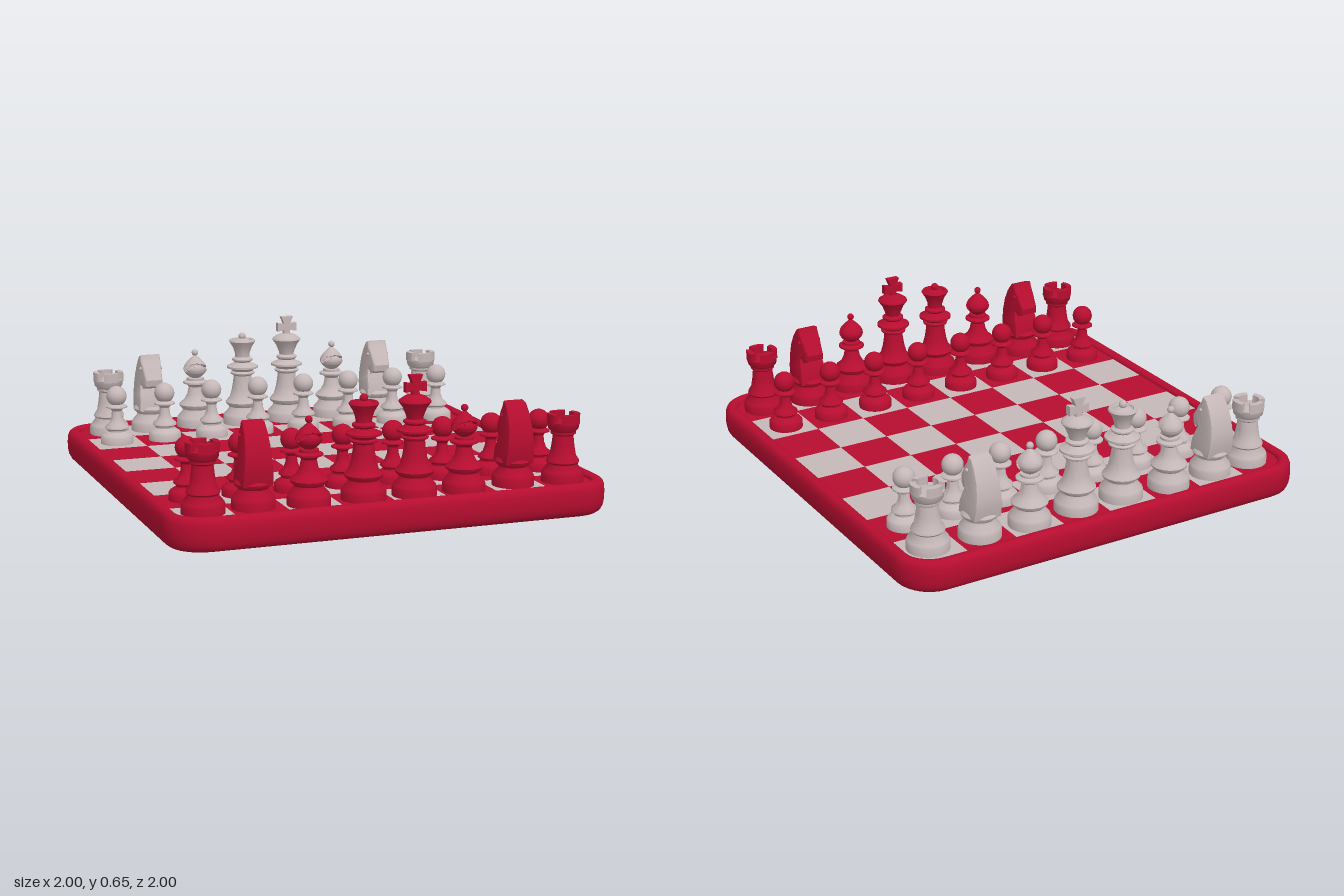
import * as THREE from 'three';
import { mergeGeometries, toCreasedNormals } from 'three/addons/utils/BufferGeometryUtils.js';

const red = new THREE.MeshStandardMaterial({ name: 'deepRed', color: 0xb60d2f });
const grey = new THREE.MeshStandardMaterial({ name: 'paleGrey', color: 0xc5b7b7 });

const FLOOR = 0.13; // height of the playing surface
const HALF = 0.94; // half width of the playing surface
const CELL = HALF / 4;

function mesh(name, geometry, material) {
  const m = new THREE.Mesh(geometry, material);
  m.name = name;
  return m;
}

function lathe(points, segments = 32) {
  const g = new THREE.LatheGeometry(points.map(([r, y]) => new THREE.Vector2(r, y)), segments);
  return toCreasedNormals(g, 0.7);
}

// Merge parts of one piece after dropping indices
function join(parts) {
  return mergeGeometries(parts.map((g) => {
    const p = g.index ? g.toNonIndexed() : g;
    p.clearGroups();
    return p;
  }));
}

function ball(r, x, y, z) {
  return new THREE.SphereGeometry(r, 20, 14).translate(x, y, z);
}

// Rounded square outline, inset from the outer edge
function outline(inset) {
  const r = 0.17 - inset, c = 0.83, pts = [];
  for (let k = 0; k < 4; k++) {
    const sx = k === 0 || k === 3 ? 1 : -1, sz = k < 2 ? 1 : -1;
    for (let i = 0; i <= 8; i++) {
      const a = (k + i / 8) * Math.PI / 2;
      pts.push(new THREE.Vector2(sx * c + r * Math.cos(a), sz * c + r * Math.sin(a)));
    }
  }
  return pts;
}

// Board frame: [inset, height] section swept round the outline
function frameGeometry() {
  const section = [[0.045, 0], [0.03, 0.004], [0.016, 0.014], [0.006, 0.033], [0.001, 0.06],
    [0, 0.09], [0.002, 0.12], [0.01, 0.139], [0.022, 0.148], [0.034, 0.15],
    [0.046, 0.148], [0.055, 0.142], [0.06, 0.134], [0.06, FLOOR - 0.01]];
  const pos = [], index = [], n = outline(0).length;
  section.forEach(([inset, y], j) => {
    outline(inset).forEach((p, i) => {
      pos.push(p.x, y, p.y);
      if (j === section.length - 1) return;
      const a = j * n + i, b = j * n + (i + 1) % n;
      index.push(a, a + n, b, b, a + n, b + n);
    });
  });
  const g = new THREE.BufferGeometry();
  g.setAttribute('position', new THREE.Float32BufferAttribute(pos, 3));
  g.setIndex(index);
  g.computeVertexNormals();
  return g;
}

function createBoard() {
  const board = new THREE.Group();
  board.name = 'board';
  board.add(mesh('frame', frameGeometry(), red));
  const base = new THREE.ShapeGeometry(new THREE.Shape(outline(0.045))).rotateX(Math.PI / 2);
  board.add(mesh('underside', base, grey));
  const cells = [[], []];
  for (let row = 0; row < 8; row++) {
    for (let col = 0; col < 8; col++) {
      cells[(row + col) % 2].push(new THREE.BoxGeometry(CELL, 0.008, CELL)
        .translate((col - 3.5) * CELL, FLOOR - 0.004, (row - 3.5) * CELL));
    }
  }
  board.add(mesh('redSquares', mergeGeometries(cells[0]), red));
  board.add(mesh('paleSquares', mergeGeometries(cells[1]), grey));
  return board;
}

// Turned foot shared by the larger pieces
const foot = (r) => [[0, FLOOR], [r, FLOOR], [r, 0.165], [r * 0.95, 0.178], [r * 0.72, 0.203],
  [r * 0.68, 0.215], [r * 0.85, 0.23], [r * 0.87, 0.238], [r * 0.82, 0.245]];

function pawn() {
  return join([
    lathe([[0, FLOOR], [0.077, FLOOR], [0.077, 0.162], [0.07, 0.172], [0.045, 0.188], [0.046, 0.195],
      [0.057, 0.203], [0.055, 0.212], [0.036, 0.228], [0.026, 0.255], [0.023, 0.285], [0.03, 0.295],
      [0.05, 0.302], [0.05, 0.308], [0.03, 0.318], [0, 0.32]]),
    ball(0.048, 0, 0.355, 0),
  ]);
}

function rook() {
  const parts = [lathe([[0, FLOOR], [0.093, FLOOR], [0.093, 0.165], [0.088, 0.178], [0.068, 0.2],
    [0.067, 0.21], [0.073, 0.218], [0.07, 0.228], [0.058, 0.245], [0.05, 0.29], [0.045, 0.335],
    [0.055, 0.343], [0.055, 0.353], [0.066, 0.365], [0.071, 0.395], [0.045, 0.395], [0.04, 0.38], [0, 0.38]])];
  // Battlements with gaps on the diagonals
  for (let k = 0; k < 4; k++) {
    const a = k * Math.PI / 2, s = new THREE.Shape();
    s.absarc(0, 0, 0.072, a - 0.55, a + 0.55, false);
    s.absarc(0, 0, 0.046, a + 0.55, a - 0.55, true);
    parts.push(new THREE.ExtrudeGeometry(s, { depth: 0.043, bevelEnabled: false, curveSegments: 8 })
      .rotateX(-Math.PI / 2).translate(0, 0.388, 0));
  }
  return join(parts);
}

function knight() {
  // Side outline of the horse, facing forward
  const side = [[-0.06, 0.24], [-0.072, 0.29], [-0.073, 0.34], [-0.062, 0.4], [-0.04, 0.45], [-0.012, 0.487],
    [0.006, 0.492], [0.014, 0.47], [0.038, 0.445], [0.058, 0.412], [0.078, 0.385], [0.074, 0.362], [0.052, 0.352],
    [0.034, 0.368], [0.022, 0.36], [0.034, 0.325], [0.052, 0.285], [0.056, 0.24]];
  const body = new THREE.ExtrudeGeometry(new THREE.Shape(side.map((p) => new THREE.Vector2(...p))), {
    depth: 0.116, bevelThickness: 0.01, bevelSize: 0.008, bevelSegments: 2,
  }).translate(0, 0, -0.058).rotateY(-Math.PI / 2);
  // Narrow the horse toward the ears and the muzzle
  const p = body.attributes.position;
  for (let i = 0; i < p.count; i++) {
    const taper = 1 - (p.getY(i) - 0.24) / 0.26 * 0.28;
    const muzzle = p.getY(i) > 0.345 ? 1 - 4 * Math.max(0, p.getZ(i) - 0.01) : 1;
    p.setX(i, p.getX(i) * taper * muzzle);
  }
  return join([
    lathe([...foot(0.093), [0.07, 0.252], [0, 0.252]]),
    toCreasedNormals(body, 0.7),
    ball(0.009, 0.049, 0.435, 0.018),
    ball(0.009, -0.049, 0.435, 0.018),
  ]);
}

function bishop() {
  // Drop-shaped head with a slanted cut pressed into its front
  const drop = [];
  for (let i = 0; i <= 28; i++) {
    const t = i / 28;
    drop.push(new THREE.Vector2(0.06 * Math.sin(Math.PI * t ** 0.85) * (1 - 0.12 * t), 0.36 + 0.125 * t));
  }
  drop[28].x = 0;
  const head = new THREE.LatheGeometry(drop, 36);
  const p = head.attributes.position;
  for (let i = 0; i < p.count; i++) {
    const off = p.getY(i) - 0.405 - 0.6 * p.getZ(i);
    if (p.getZ(i) > 0 && Math.abs(off) < 0.008) p.setXYZ(i, p.getX(i) * 0.7, p.getY(i), p.getZ(i) * 0.7);
  }
  return join([
    lathe([...foot(0.093), [0.055, 0.262], [0.04, 0.29], [0.033, 0.325], [0.04, 0.334], [0.06, 0.342],
      [0.06, 0.35], [0.042, 0.358], [0.042, 0.368], [0, 0.37]]),
    toCreasedNormals(head, 0.7),
    ball(0.016, 0, 0.493, 0),
  ]);
}

// Tall stem shared by queen and king
const stem = [...foot(0.097), [0.064, 0.262], [0.053, 0.3], [0.046, 0.345], [0.044, 0.37], [0.058, 0.378],
  [0.06, 0.385], [0.05, 0.392], [0.056, 0.4], [0.077, 0.408], [0.077, 0.417], [0.05, 0.428], [0.04, 0.437],
  [0.05, 0.446], [0.05, 0.453], [0.035, 0.462]];

function queen() {
  return join([
    lathe([...stem, [0.036, 0.48], [0.046, 0.51], [0.065, 0.54], [0.06, 0.548], [0.048, 0.548],
      [0.044, 0.54], [0.03, 0.551], [0, 0.556]]),
    ball(0.018, 0, 0.564, 0),
  ]);
}

function king() {
  const half = [[0.018, 0.555], [0.013, 0.583], [0.048, 0.577], [0.048, 0.619], [0.015, 0.613], [0.03, 0.65]];
  const full = [...half, ...half.map(([x, y]) => [-x, y]).reverse()];
  const cross = new THREE.ExtrudeGeometry(new THREE.Shape(full.map((p) => new THREE.Vector2(...p))),
    { depth: 0.03, bevelEnabled: false }).translate(0, 0, -0.015);
  return join([
    lathe([...stem, [0.038, 0.475], [0.052, 0.51], [0.07, 0.535], [0.068, 0.542], [0.045, 0.558], [0.02, 0.566], [0, 0.568]]),
    cross,
  ]);
}

export function createModel() {
  const model = new THREE.Group();
  model.name = 'chessSet';
  model.add(createBoard());
  const shapes = { pawn: pawn(), rook: rook(), knight: knight(), bishop: bishop(), queen: queen(), king: king() };
  const order = ['rook', 'knight', 'bishop', 'queen', 'king', 'bishop', 'knight', 'rook'];
  const sides = [
    { name: 'redPieces', material: red, facing: Math.PI, pawnZ: 0.575,
      x: [-0.82, -0.6, -0.365, -0.115, 0.113, 0.34, 0.587, 0.82],
      z: [0.815, 0.805, 0.835, 0.82, 0.83, 0.835, 0.805, 0.815] },
    { name: 'greyPieces', material: grey, facing: 0, pawnZ: -0.59,
      x: [-0.8, -0.59, -0.355, -0.118, 0.112, 0.358, 0.592, 0.83],
      z: [-0.815, -0.83, -0.845, -0.825, -0.825, -0.845, -0.83, -0.815] },
  ];
  for (const s of sides) {
    const army = new THREE.Group();
    army.name = s.name;
    order.forEach((kind, i) => {
      const piece = mesh(kind, shapes[kind], s.material);
      piece.position.set(s.x[i], 0, s.z[i]);
      if (kind === 'knight') piece.rotation.y = s.facing;
      const front = mesh('pawn', shapes.pawn, s.material);
      front.position.set((i - 3.5) * 0.234, 0, s.pawnZ);
      army.add(piece, front);
    });
    model.add(army);
  }
  return model;
}
